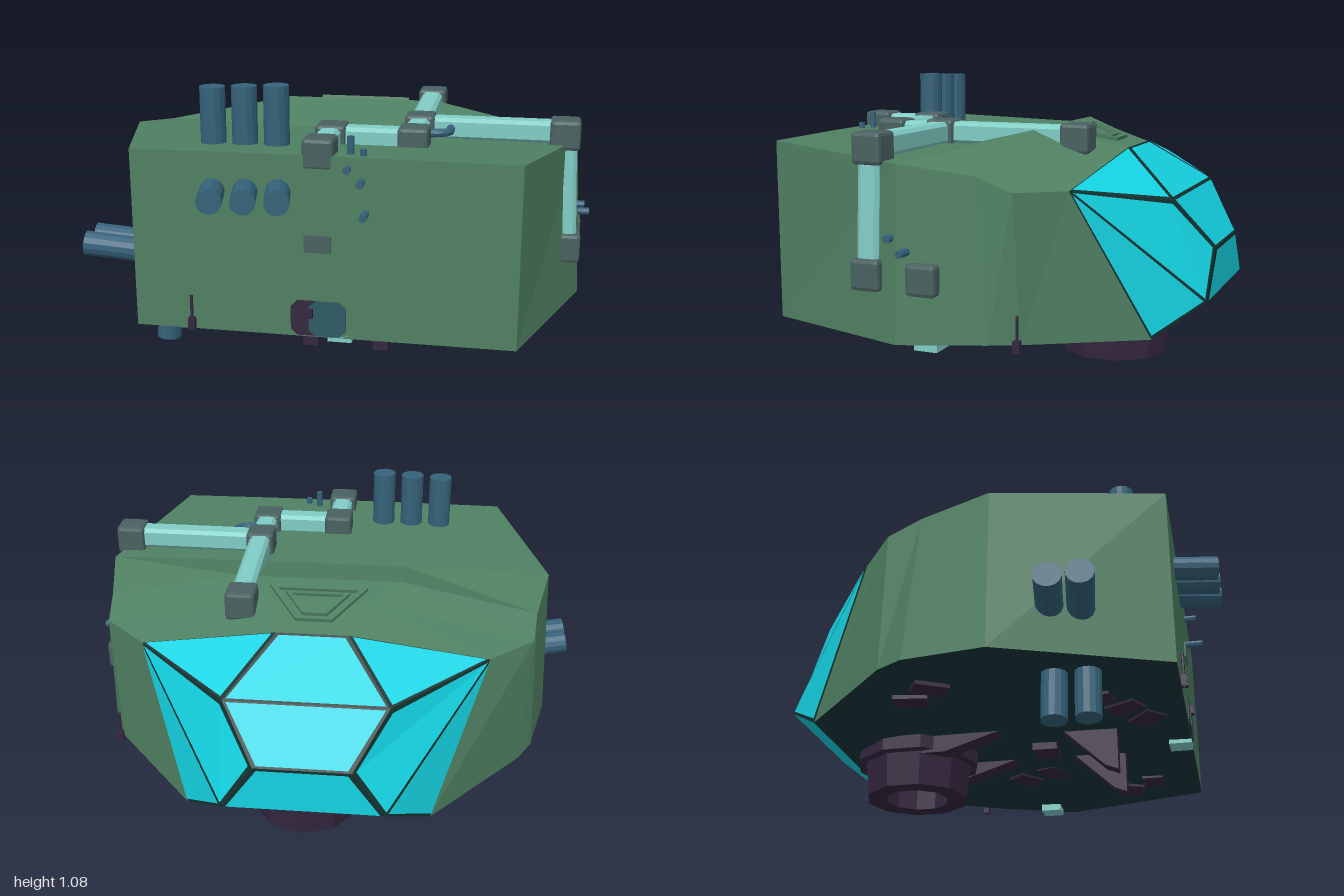
import * as THREE from 'three';
import { RoundedBoxGeometry } from 'three/addons/geometries/RoundedBoxGeometry.js';

const mat = (color, side = THREE.FrontSide) => new THREE.MeshStandardMaterial({ color, flatShading: true, side });
const CX = 0.033; // the hull's own centre line
const V = (x, y, z) => new THREE.Vector3(x, y, z);

export function createModel() {
  const model = new THREE.Group();
  const green = mat(0x4f8062), dark = mat(0x18353a, THREE.DoubleSide), glass = mat(0x14d3e2, THREE.DoubleSide);
  const seam = mat(0x12302f, THREE.DoubleSide), teal = mat(0x80cdc5), joint = mat(0x4a6161);
  const blue = mat(0x35627a), purple = mat(0x35273f, THREE.DoubleSide), plate = mat(0x2f5a64);

  const add = (name, geo, material, x = 0, y = 0, z = 0, parent = model) => {
    const m = new THREE.Mesh(geo, material);
    m.name = name;
    m.position.set(x, y, z);
    parent.add(m);
    return m;
  };
  // Flat-faced mesh from convex polygons, each fanned into triangles
  const polyGeo = (polys) => {
    const pts = [];
    for (const p of polys) for (let i = 1; i < p.length - 1; i++) pts.push(p[0], p[i], p[i + 1]);
    const g = new THREE.BufferGeometry().setFromPoints(pts);
    g.computeVertexNormals();
    return g;
  };
  // Cylinder running from a to b
  const rod = (name, a, b, r, material = blue, sides = 14) => {
    const d = b.clone().sub(a);
    const m = add(name, new THREE.CylinderGeometry(r, r, d.length(), sides), material);
    m.position.copy(a).addScaledVector(d, 0.5);
    m.quaternion.setFromUnitVectors(V(0, 1, 0), d.normalize());
    return m;
  };
  const chamferShape = (w, h, c) => new THREE.Shape([
    [w - c, -h], [w, c - h], [w, h - c], [w - c, h], [c - w, h], [-w, h - c], [-w, c - h], [c - w, -h],
  ].map(([x, y]) => new THREE.Vector2(x, y)));

  // Hull: cross-sections from front to rear; each lists bottom, shoulder and inner roof point
  const sections = [
    [[0.712, 0.19, 0.7], [0.712, 0.875, 0.7], [0.31, 0.878, 0.7]],
    [[0.935, 0.205, 0.08], [0.905, 0.838, 0.08], [0.32, 0.848, 0.08]],
    [[0.865, 0.22, -0.24], [0.845, 0.8, -0.19], [0.32, 0.915, -0.2]],
    [[0.81, 0.218, -0.34], [0.83, 0.75, -0.32], [0.21, 0.885, -0.33]],
    [[0.465, 0.185, -0.71], [0.66, 0.74, -0.46], [0.135, 0.84, -0.51]],
  ].map((s) => [
    ...s.map(([x, y, z]) => V(CX + x, y, z)),
    ...s.slice().reverse().map(([x, y, z]) => V(CX - x, y, z)),
  ]);
  const skin = [sections[0]], floor = [];
  for (let i = 0; i < sections.length - 1; i++) {
    for (let j = 0; j < 6; j++) {
      const k = (j + 1) % 6, quad = [sections[i][j], sections[i + 1][j], sections[i + 1][k], sections[i][k]];
      (j === 5 ? floor : skin).push(quad);
    }
  }
  add('hull', polyGeo(skin), green);
  add('hullFloor', polyGeo(floor), dark);

  // Rear canopy: dark frame with slightly raised, inset panes
  const T = [0.135, 0.84, -0.51], A = [0.66, 0.74, -0.46], R = [0.305, 0.675, -0.735];
  const N = [0.18, 0.48, -0.87], L = [0.3, 0.3, -0.87], B = [0.465, 0.185, -0.71];
  const pt = ([x, y, z], s) => V(CX + s * x, y, z);
  const middle = [[T, R], [R, N], [N, L]].map(([a, b]) => [pt(a, 1), pt(a, -1), pt(b, -1), pt(b, 1)]);
  const flanks = [1, -1].flatMap((s) => [[T, R, A], [A, R, N, L], [A, L, B]].map((p) => p.map((q) => pt(q, s))));
  const hub = V(CX, 0.5, -0.4);
  const outward = (p) => {
    const c = p.reduce((a, q) => a.add(q), V(0, 0, 0)).divideScalar(p.length);
    const n = p[1].clone().sub(p[0]).cross(p[2].clone().sub(p[0])).normalize();
    if (n.dot(c.clone().sub(hub)) < 0) { n.negate(); p.reverse(); }
    return { c, n };
  };
  const canopy = new THREE.Group();
  canopy.name = 'canopy';
  model.add(canopy);
  const frames = [...middle, ...flanks];
  const panes = frames.map((p) => {
    const { c, n } = outward(p);
    return p.map((q) => {
      const d = c.clone().sub(q);
      return q.clone().addScaledVector(d, Math.min(0.2, 0.016 / d.length())).addScaledVector(n, 0.005);
    });
  });
  add('canopyFrame', polyGeo(frames), seam, 0, 0, 0, canopy);
  add('canopyPanes', polyGeo(panes), glass, 0, 0, 0, canopy);
  const belly = [pt(L, 1), pt(L, -1), pt(B, -1), pt(B, 1)];
  outward(belly);
  add('canopyBelly', polyGeo([belly]), glass, 0, 0, 0, canopy);

  // Roof hatch: two nested trapezoid rims lying on the rear slope
  const trap = (s) => [[-0.19, -0.095], [0.19, -0.095], [0.07, 0.095], [-0.07, 0.095]].map(([x, y]) => new THREE.Vector2(x * s, y * s));
  [[1, 0.82], [0.66, 0.52]].forEach(([o, i], k) => {
    const shape = new THREE.Shape(trap(o));
    shape.holes.push(new THREE.Path(trap(i)));
    const rim = add('hatchRim' + k, new THREE.ExtrudeGeometry(shape, { depth: 0.02, bevelEnabled: false }), green, 0.035, 0.873, -0.35);
    rim.rotation.x = -Math.PI / 2 - 0.24 + 0.48;
    rim.rotation.x = -Math.PI / 2 - 0.236;
  });

  // Roof and side conduits with block joints
  const elbows = [
    [0.32, 0.885, -0.36], [0.33, 0.885, 0.195], [0.33, 0.88, 0.41], [0.02, 0.88, 0.41], [0.02, 0.88, 0.645],
    [0.885, 0.885, 0.2], [0.905, 0.44, 0.205], [0.91, 0.44, -0.015],
  ].map((p) => V(...p));
  elbows.forEach((p) => add('conduitJoint', new RoundedBoxGeometry(0.115, 0.115, 0.115, 1, 0.014), joint, p.x, p.y, p.z));
  [[0, 1], [1, 2], [2, 3], [3, 4], [1, 5], [5, 6], [6, 7]].forEach(([i, j]) => {
    const a = elbows[i], b = elbows[j];
    // The last run is sunk into the hull side
    const geo = new THREE.ExtrudeGeometry(chamferShape(0.042, 0.042, 0.014), { depth: a.distanceTo(b), bevelEnabled: false });
    const run = add('conduit', geo, teal, a.x, a.y + (j < 6 ? 0.006 : 0), a.z);
    if (j === 7) run.position.x -= 0.03;
    run.quaternion.setFromUnitVectors(V(0, 0, 1), b.clone().sub(a).normalize());
  });
  add('conduitOutlet', new THREE.BoxGeometry(0.09, 0.05, 0.09), teal, 0.88, 0.205, -0.015);
  add('conduitOutlet', new THREE.BoxGeometry(0.09, 0.04, 0.09), teal, 0.1, 0.195, 0.655);

  // Roof stacks, front launch tubes
  for (let i = 0; i < 3; i++) {
    const x = -0.415 + i * 0.122;
    rod('roofStack', V(x, 0.8, 0.51), V(x, 1.08 + i * 0.006, 0.51), 0.048);
    rod('frontTube', V(x + 0.03, 0.732 + i * 0.004, 0.62), V(x + 0.082, 0.735 + i * 0.004, 0.86), 0.046);
  }
  // Paired side and bottom exhausts
  for (let i = 0; i < 2; i++) {
    rod('sideExhaust', V(-0.75, 0.375, 0.275 + i * 0.11), V(-0.995, 0.405, 0.31 + i * 0.11), 0.05);
    rod('bottomExhaust', V(-0.645, 0.26, 0.27 + i * 0.12), V(-0.67, 0.015, 0.27 + i * 0.12), 0.048);
  }

  // Front fittings
  const slab = (w, h, c) => new THREE.ExtrudeGeometry(chamferShape(w, h, c), { depth: 0.012, bevelEnabled: false });
  add('frontHatch', slab(0.07, 0.068, 0.025), plate, 0.055, 0.263, 0.695);
  add('frontHatchEdge', slab(0.07, 0.068, 0.025), purple, -0.012, 0.263, 0.692);
  add('hatchLatch', new THREE.BoxGeometry(0.025, 0.035, 0.02), purple, -0.01, 0.285, 0.71);
  add('frontPlate', new THREE.BoxGeometry(0.1, 0.065, 0.012), joint, 0.02, 0.55, 0.7);
  [[0.13, 0.835], [0.18, 0.79], [0.195, 0.675]].forEach(([x, y], i) =>
    rod('frontKnob', V(x, y, 0.68), V(x, y, 0.73 + i * 0.02), 0.014, blue, 8));
  rod('roofPeg', V(0.13, 0.86, 0.635), V(0.13, 0.94, 0.635), 0.013, blue, 8);
  rod('roofPeg', V(0.18, 0.86, 0.66), V(0.18, 0.9, 0.66), 0.013, blue, 8);
  const bend = new THREE.CatmullRomCurve3([V(0.35, 0.895, 0.33), V(0.42, 0.895, 0.325), V(0.45, 0.895, 0.3), V(0.45, 0.895, 0.22)]);
  add('roofElbow', new THREE.TubeGeometry(bend, 10, 0.016, 8), blue);
  // Small aerials on the front and side
  [[-0.46, 0.71], [0.86, -0.335]].forEach(([x, z]) => {
    rod('aerial', V(x, 0.19, z), V(x, 0.325, z), 0.006, purple, 6);
    add('aerialBase', new THREE.BoxGeometry(0.025, 0.045, 0.025), purple, x, 0.215, z);
  });
  // Right-hand hull knobs
  rod('sideKnob', V(0.92, 0.58, 0.105), V(0.975, 0.58, 0.105), 0.015, blue, 8);
  rod('sideKnob', V(0.92, 0.535, 0.045), V(0.998, 0.535, 0.045), 0.015, blue, 8);

  // Underside turret ring with a collar
  const ring = [[0.13, 0.2], [0.13, 0.015], [0.21, 0.015], [0.225, 0.15], [0.255, 0.155], [0.255, 0.21]]
    .map(([r, y]) => new THREE.Vector2(r, y));
  add('bottomRing', new THREE.LatheGeometry(ring, 10), purple, 0.07, 0, -0.44);
  // Sloped arms leading from the ring, and triangular fins ahead of them
  const fin = (name, profile, x, w) => {
    const g = new THREE.ExtrudeGeometry(new THREE.Shape(profile.map(([z, y]) => new THREE.Vector2(z, y))), { depth: w, bevelEnabled: false });
    const m = add(name, g, purple, x - w / 2, 0, 0);
    m.rotation.y = -Math.PI / 2;
    m.position.x = x + w / 2;
  };
  [-1, 1].forEach((s) => {
    fin('ringArm', [[-0.05, 0.21], [-0.27, 0.14], [-0.4, 0.14], [-0.4, 0.21]], 0.07 + s * 0.17, 0.08);
    fin('landingFin', [[0.42, 0.2], [0.21, 0.2], [0.37, 0.05], [0.42, 0.03]], 0.07 + s * 0.14, 0.06);
  });
  add('centreBlock', new THREE.BoxGeometry(0.12, 0.04, 0.1), purple, 0.07, 0.195, 0.11);

  // Thin tiles scattered over the floor
  [[0.55, 0.5], [0.65, 0.4], [-0.2, 0.55], [-0.32, 0.48], [-0.42, 0.38], [-0.5, -0.3], [-0.6, -0.2], [0.45, -0.05], [0.38, 0.08]]
    .forEach(([x, z], i) => {
      add('floorTile', new THREE.BoxGeometry(0.13, 0.015, 0.09), purple, x, z > 0.2 ? 0.193 : 0.208, z).rotation.y = i * 0.35;
    });
  return model;
}
